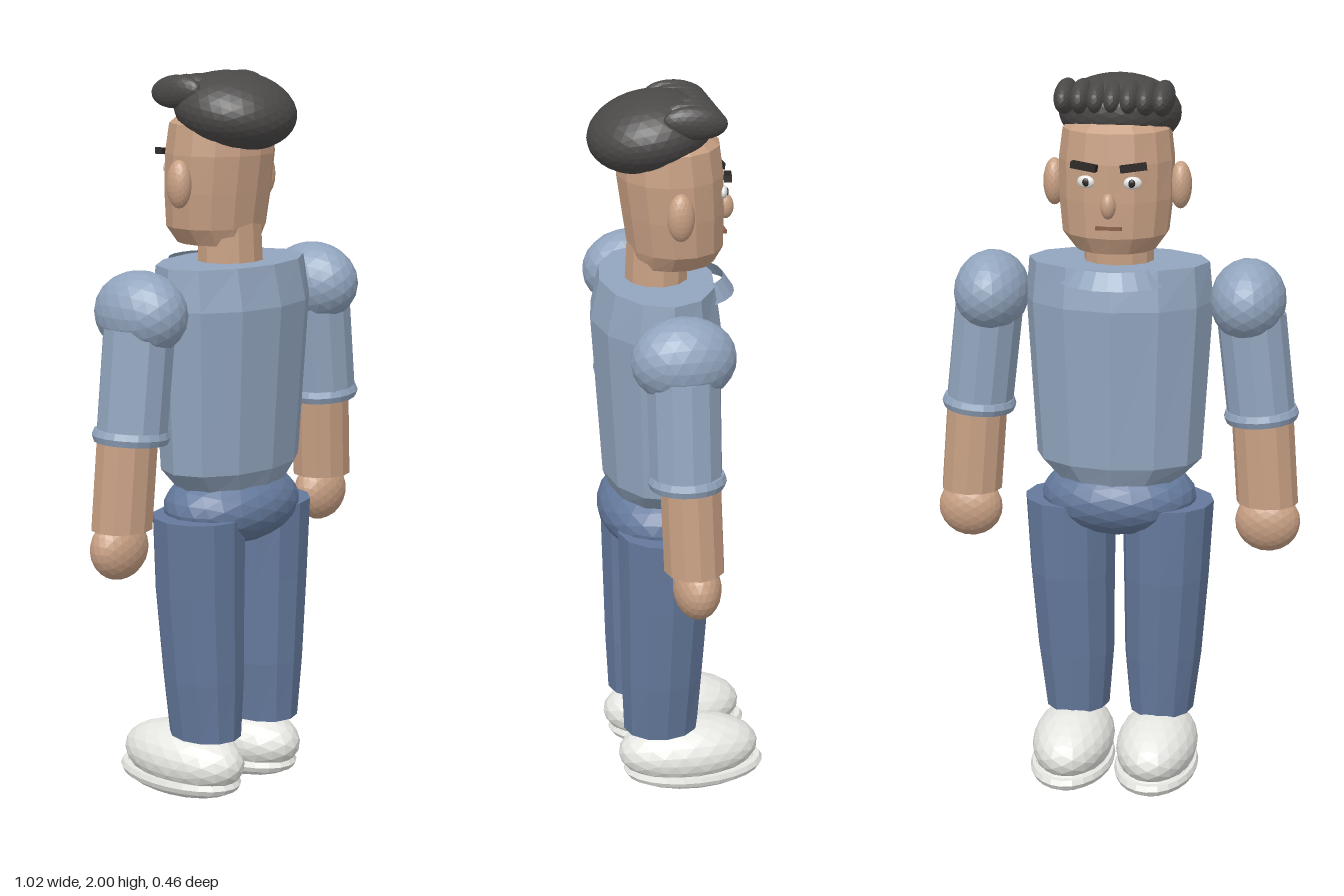
import * as THREE from 'three';

const mat = (name, color, extra = {}) => {
  const m = new THREE.MeshStandardMaterial({ color, flatShading: true, ...extra });
  m.name = name;
  return m;
};

// Low-poly tube through elliptical sections [y, cx, cz, rx, rz], listed bottom to top, capped at both ends.
function loft(rings, n = 12) {
  const pos = [], idx = [];
  for (const [y, cx, cz, rx, rz] of rings)
    for (let i = 0; i < n; i++) {
      const a = (i / n) * Math.PI * 2;
      pos.push(cx + Math.sin(a) * rx, y, cz + Math.cos(a) * rz);
    }
  for (let r = 0; r < rings.length - 1; r++)
    for (let i = 0; i < n; i++) {
      const a = r * n + i, b = r * n + (i + 1) % n;
      idx.push(a, b, b + n, a, b + n, a + n);
    }
  const last = (rings.length - 1) * n;
  for (let i = 1; i < n - 1; i++) {
    idx.push(0, i + 1, i);
    idx.push(last, last + i, last + i + 1);
  }
  const g = new THREE.BufferGeometry();
  g.setAttribute('position', new THREE.Float32BufferAttribute(pos, 3));
  g.setIndex(idx);
  g.computeVertexNormals();
  return g;
}

export function createModel() {
  const model = new THREE.Group();
  model.name = 'standingMan';

  const skin = mat('skin', 0xc8a084);
  const shirt = mat('shirt', 0x92a5be);
  const collarMat = mat('collarShirt', 0x92a5be, { side: THREE.DoubleSide });
  const jeans = mat('jeans', 0x64799c);
  const hair = mat('hair', 0x4b4948);
  const shoe = mat('shoeWhite', 0xe6e6e2);
  const eyeWhite = mat('eyeWhite', 0xf2f2f0);
  const dark = mat('dark', 0x2a2624);
  const lip = mat('lip', 0x8a5f48);

  const add = (name, geo, material, p = [0, 0, 0], s = [1, 1, 1], r = [0, 0, 0]) => {
    const m = new THREE.Mesh(geo, material);
    m.name = name;
    m.position.set(...p);
    m.scale.set(...s);
    m.rotation.set(...r);
    model.add(m);
    return m;
  };
  const ball = new THREE.IcosahedronGeometry(1, 3);
  const fineBall = new THREE.IcosahedronGeometry(1, 5);

  // Torso, collar, pelvis and neck; the face looks toward -z
  add('torso', loft([
    [0.88, 0, 0.05, 0.17, 0.125],
    [0.94, 0, 0.05, 0.23, 0.15],
    [1.385, 0, 0.053, 0.257, 0.175],
    [1.495, 0, 0.05, 0.247, 0.152],
  ]), shirt);
  add('collar', new THREE.CylinderGeometry(0.13, 0.16, 0.045, 8, 1, true, Math.PI * 2 / 3, Math.PI * 2 / 3),
    collarMat, [0, 1.474, 0]);
  add('pelvis', ball, jeans, [0, 0.825, 0.055], [0.217, 0.11, 0.16]);
  add('neck', loft([[1.47, 0, 0.05, 0.096, 0.085], [1.6, 0, 0.045, 0.092, 0.083]]), skin);

  // Head
  add('head', loft([
    [1.54, 0, 0.005, 0.11, 0.112],
    [1.585, 0, -0.002, 0.143, 0.128],
    [1.68, 0, 0.004, 0.153, 0.136],
    [1.78, 0, 0.012, 0.155, 0.142],
    [1.86, 0, 0.016, 0.145, 0.135],
    [1.9, 0, 0.03, 0.1, 0.1],
  ], 14), skin);
  add('nose', ball, skin, [0, 1.675, -0.138], [0.02, 0.034, 0.022]);
  add('mouth', new THREE.BoxGeometry(0.07, 0.009, 0.012), lip, [0, 1.615, -0.129]);

  // Hair cap and swept front locks
  add('hairCap', fineBall, hair, [0, 1.892, 0.066], [0.164, 0.103, 0.164], [0.17, 0, 0]);
  for (let i = -3; i <= 3; i++)
    add('hairLock', ball, hair, [i * 0.043, 1.944, -0.028], [0.03, 0.044, 0.085], [-0.1, 0, 0]);

  // Mirrored parts
  for (const s of [1, -1]) {
    const side = s > 0 ? 'left' : 'right';

    // Face details
    add(side + 'Ear', ball, skin, [s * 0.17, 1.708, 0.018], [0.03, 0.064, 0.036]);
    add(side + 'Eye', ball, eyeWhite, [s * 0.062, 1.735, -0.119], [0.024, 0.017, 0.01], [0, -s * 0.25, 0]);
    add(side + 'Pupil', ball, dark, [s * 0.06, 1.735, -0.127], [0.01, 0.011, 0.005]);
    add(side + 'Brow', new THREE.BoxGeometry(0.07, 0.018, 0.02), dark,
      [s * 0.065, 1.777, -0.128], [1, 1, 1], [0, -s * 0.2, s * 0.12]);

    // Arm
    add(side + 'Shoulder', ball, shirt, [s * 0.352, 1.393, 0.05], [0.103, 0.112, 0.137]);
    add(side + 'Sleeve', loft([
      [1.07, s * 0.393, 0.052, 0.094, 0.095],
      [1.36, s * 0.36, 0.052, 0.095, 0.096],
    ]), shirt);
    add(side + 'Cuff', new THREE.TorusGeometry(0.09, 0.013, 6, 20).rotateX(Math.PI / 2), shirt,
      [s * 0.393, 1.076, 0.05], [1, 1.5, 1], [0, 0, s * 0.08]);
    add(side + 'Forearm', loft([
      [0.83, s * 0.415, 0.035, 0.085, 0.08],
      [1.09, s * 0.396, 0.042, 0.085, 0.08],
    ]), skin);
    add(side + 'Hand', ball, skin, [s * 0.418, 0.775, 0.028], [0.09, 0.085, 0.063]);

    // Leg
    add(side + 'Leg', loft([
      [0.19, s * 0.121, 0.065, 0.091, 0.105],
      [0.36, s * 0.125, 0.062, 0.109, 0.115],
      [0.6, s * 0.133, 0.056, 0.12, 0.125],
      [0.815, s * 0.137, 0.057, 0.128, 0.128],
    ]), jeans);

    // Shoe
    add(side + 'Shoe', ball, shoe, [s * 0.12, 0.107, -0.015], [0.114, 0.094, 0.201]);
    add(side + 'Sole', ball, shoe, [s * 0.12, 0.046, -0.03], [0.11, 0.046, 0.19]);
    add(side + 'SoleRim', new THREE.TorusGeometry(1, 0.09, 6, 24).rotateX(Math.PI / 2), shoe,
      [s * 0.12, 0.052, -0.03], [0.108, 0.18, 0.185]);
  }
  return model;
}
